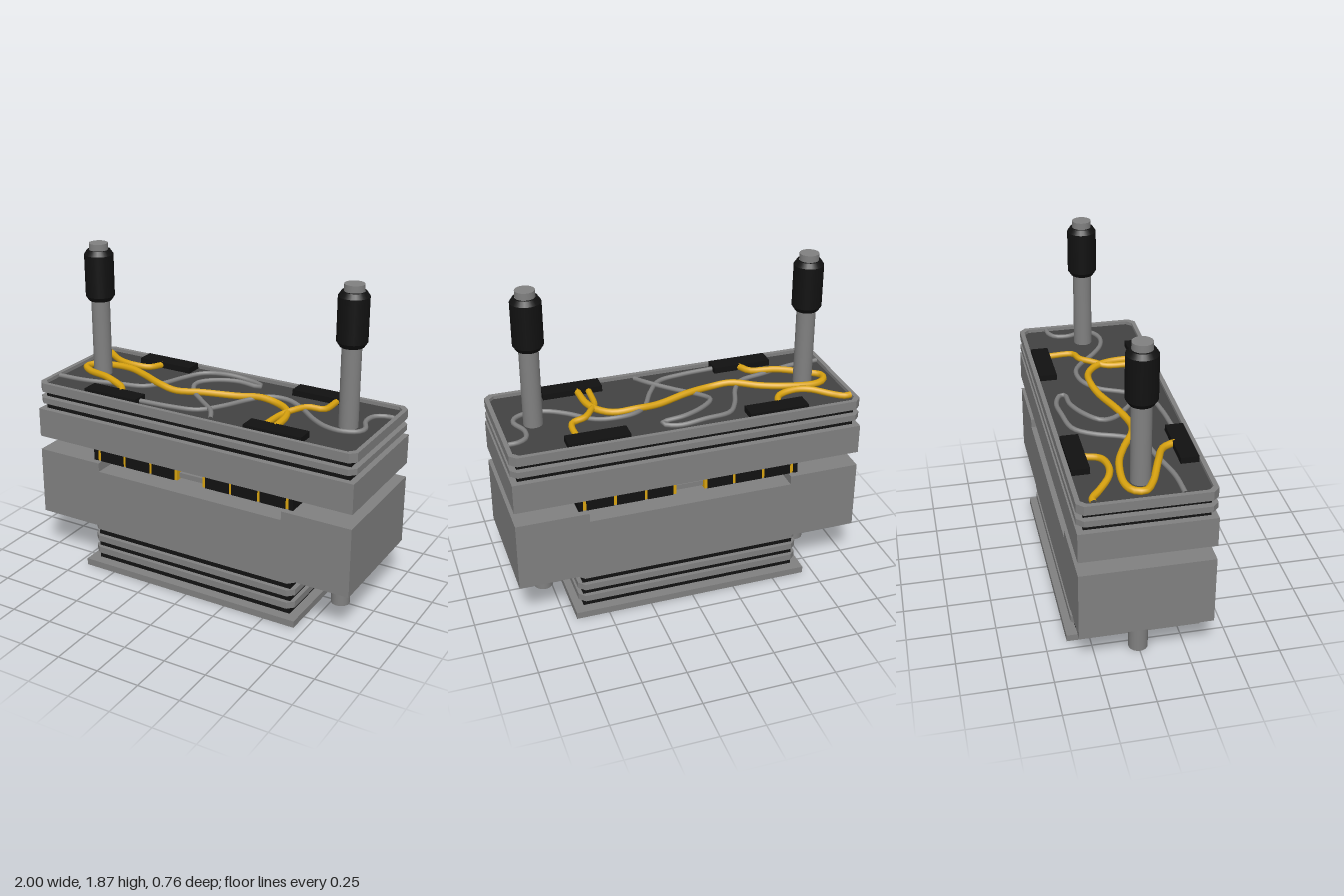
import * as THREE from 'three';

const mat = (name, color) => {
  const m = new THREE.MeshStandardMaterial({ color });
  m.name = name;
  return m;
};

export function createModel() {
  const root = new THREE.Group();
  root.name = 'dieSet';
  const steel = mat('steelGrey', 0x808080);
  const black = mat('rubberBlack', 0x111111);
  const yellow = mat('cableYellow', 0xd9a30f);
  const dark = mat('trayDarkGrey', 0x424242);

  const add = (name, geometry, material, parent = root) => {
    const m = new THREE.Mesh(geometry, material);
    m.name = name;
    parent.add(m);
    return m;
  };
  // box given by its limits
  const box = (name, material, x0, x1, y0, y1, z0, z1) => {
    const m = add(name, new THREE.BoxGeometry(x1 - x0, y1 - y0, z1 - z0), material);
    m.position.set((x0 + x1) / 2, (y0 + y1) / 2, (z0 + z1) / 2);
    return m;
  };
  // rectangle with cut corners
  const outline = (w, d, c) => [
    [w, d - c], [w - c, d], [c - w, d], [-w, d - c],
    [-w, c - d], [c - w, -d], [w - c, -d], [w, c - d],
  ].map(([x, y]) => new THREE.Vector2(x, y));
  // horizontal plate with cut corners, optionally an open frame
  const plate = (name, material, w, d, y0, y1, rim = 0) => {
    const shape = new THREE.Shape(outline(w, d, 0.035));
    if (rim) shape.holes.push(new THREE.Path(outline(w - rim, d - rim, 0.03).reverse()));
    const g = new THREE.ExtrudeGeometry(shape, { depth: y1 - y0, bevelEnabled: false });
    g.rotateX(-Math.PI / 2);
    g.translate(0, y0, 0);
    return add(name, g, material);
  };

  // base and lower spring stack
  box('basePlate', steel, -0.69, 0.69, 0, 0.04, -0.38, 0.38);
  box('lowerStackCore', black, -0.635, 0.635, 0.04, 0.27, -0.32, 0.32);
  for (const [a, b] of [[0.082, 0.12], [0.16, 0.197], [0.24, 0.279]]) {
    plate('lowerStackPlate', steel, 0.66, 0.345, a, b);
  }

  // lower block with a slot running front to back
  const u = new THREE.Shape([
    [-1, 0.277], [1, 0.277], [1, 0.682], [0.59, 0.682],
    [0.59, 0.63], [-0.59, 0.63], [-0.59, 0.682], [-1, 0.682],
  ].map(([x, y]) => new THREE.Vector2(x, y)));
  const block = new THREE.ExtrudeGeometry(u, { depth: 0.73, bevelEnabled: false });
  block.translate(0, 0, -0.365);
  add('lowerBlock', block, steel);

  // yellow tooling cores faced with black tiles
  for (const s of [-1, 1]) {
    const side = (name, m, a, b, z0, z1, y0 = 0.682) =>
      box(name, m, Math.min(s * a, s * b), Math.max(s * a, s * b), y0, 0.767, z0, z1);
    side('toolCore', yellow, 0.082, 0.62, -0.325, 0.325);
    side('endTile', black, 0.617, 0.643, -0.33, 0.33);
    for (const [a, b] of [[0.1, 0.25], [0.267, 0.425], [0.442, 0.597]]) {
      side('frontTile', black, a, b, 0.32, 0.33);
      side('backTile', black, a, b, -0.33, -0.32);
    }
  }
  box('centreBar', steel, -0.082, 0.082, 0.69, 0.72, -0.3, 0.3);

  // upper block, stack and tray
  box('upperBlock', steel, -1, 1, 0.767, 0.94, -0.365, 0.365);
  box('upperStackCore', black, -0.965, 0.965, 0.94, 1.055, -0.33, 0.33);
  plate('upperStackPlate', steel, 1, 0.365, 0.98, 1.015);
  plate('trayRim', steel, 1, 0.365, 1.05, 1.103, 0.025);
  plate('trayFloor', dark, 0.98, 0.345, 1.052, 1.083);
  for (const x of [-0.515, 0.51]) {
    for (const z of [-0.288, 0.288]) {
      box('trayPad', black, x - 0.172, x + 0.172, 1.08, 1.118, z - 0.05, z + 0.05);
    }
  }

  // guide posts with grips
  const grip = [[0.055, 1.535], [0.066, 1.535], [0.084, 1.562], [0.084, 1.805], [0.066, 1.832], [0.055, 1.832]];
  for (const x of [-0.795, 0.795]) {
    const post = add('guidePost', new THREE.CylinderGeometry(0.054, 0.054, 1.87, 24), steel);
    post.position.set(x, 0.935, 0);
    // separate lathe bands keep the edges sharp
    for (let i = 0; i < grip.length - 1; i++) {
      const band = [grip[i], grip[i + 1]].map(([r, y]) => new THREE.Vector2(r, y));
      add('postGrip', new THREE.LatheGeometry(band, 24), black).position.x = x;
    }
  }

  // cables lying in the tray, points are [x, z, lift]
  const cable = (name, material, r, pts) => {
    const curve = new THREE.CatmullRomCurve3(
      pts.map(([x, z, lift = 0]) => new THREE.Vector3(x, 1.08 + r + lift, z)), false, 'centripetal');
    add(name, new THREE.TubeGeometry(curve, pts.length * 4, r, 8), material);
  };
  cable('yellowCableShort', yellow, 0.019, [
    [-0.97, -0.275], [-0.93, -0.275], [-0.87, -0.23], [-0.77, -0.16, 0.01], [-0.68, -0.14, 0.012],
    [-0.58, -0.165, 0.005], [-0.54, -0.25],
  ]);
  cable('yellowCableLong', yellow, 0.02, [
    [-0.5, 0.25], [-0.54, 0.18], [-0.68, 0.12, 0.015], [-0.85, 0.05], [-0.915, 0], [-0.9, -0.06],
    [-0.83, -0.092], [-0.65, -0.08, 0.01], [-0.52, -0.03, 0.01], [-0.37, 0.05, 0.014], [-0.25, 0.065],
    [-0.1, 0.025, 0.005], [0.1, -0.04], [0.23, -0.065, 0.01], [0.35, -0.05], [0.43, 0.01],
    [0.47, 0.1], [0.482, 0.25],
  ]);
  cable('yellowCableRight', yellow, 0.018, [
    [0.612, -0.25], [0.602, -0.1, 0.005], [0.52, -0.07, 0.012], [0.47, 0, 0.01], [0.43, 0.07], [0.418, 0.25],
  ]);
  cable('greyCableLeft', steel, 0.014, [
    [-0.97, 0.19], [-0.8, 0.18], [-0.6, 0.13], [-0.45, 0.09], [-0.38, 0], [-0.32, -0.15],
    [-0.25, -0.25, 0.005], [-0.1, -0.285, 0.012], [0.05, -0.29], [0.13, -0.255], [0.13, -0.23], [0, -0.22, 0.012],
    [-0.13, -0.16, 0.015], [-0.2, -0.08, 0.01], [-0.17, 0], [-0.05, 0.11], [0.08, 0.23, 0.008], [0.125, 0.31],
  ]);
  cable('greyCableRight', steel, 0.014, [
    [-0.35, 0.285], [-0.15, 0.27], [0, 0.235], [0.09, 0.12], [0.17, -0.03], [0.25, -0.105, 0.01],
    [0.37, -0.12, 0.01], [0.47, -0.08], [0.6, 0.03], [0.7, 0.09], [0.8, 0.105], [0.88, 0.07],
    [0.9, 0.02], [0.86, -0.08], [0.87, -0.16], [0.92, -0.195], [0.975, -0.2],
  ]);

  return root;
}
